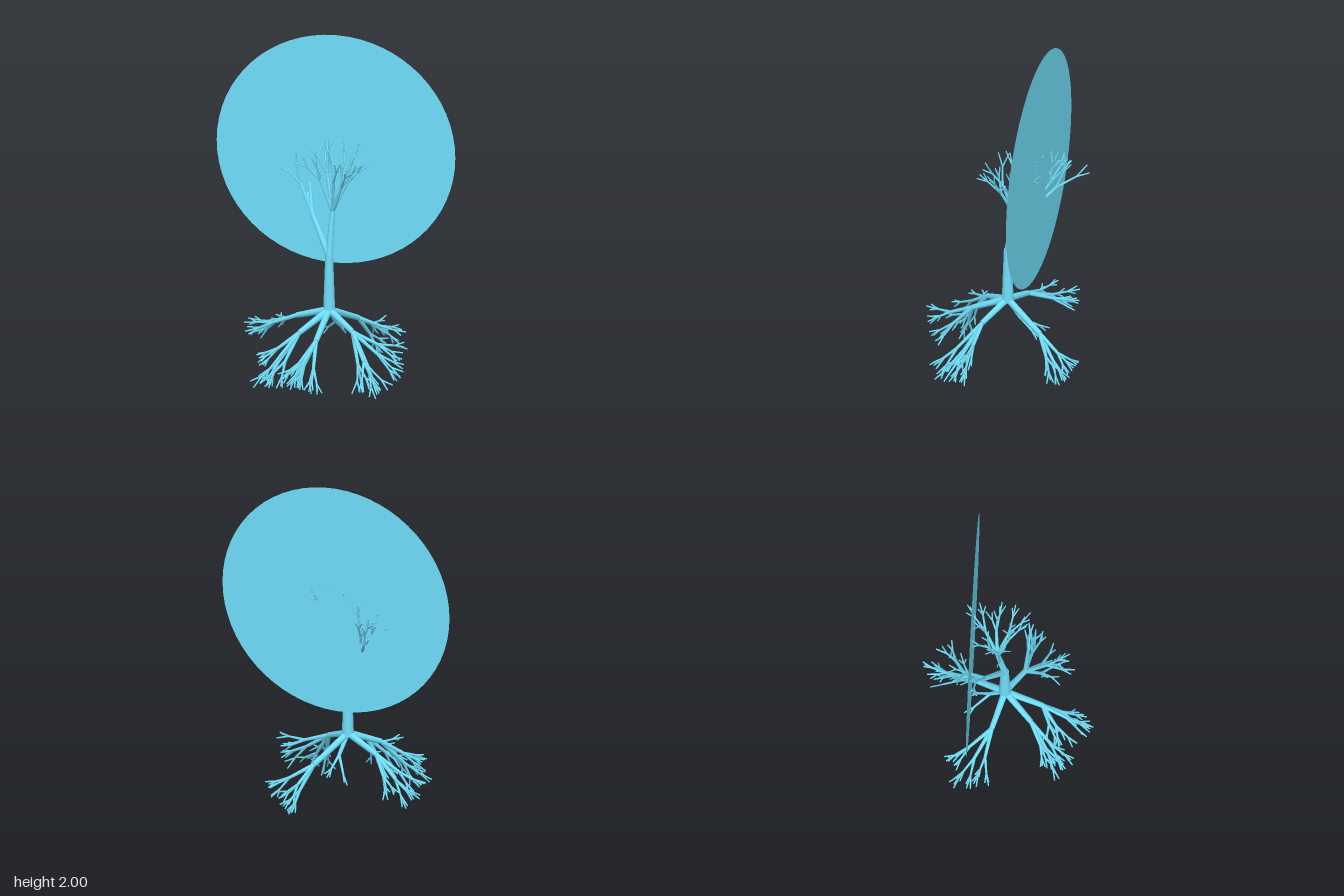
import * as THREE from 'three';
import { mergeGeometries } from 'three/addons/utils/BufferGeometryUtils.js';

const material = new THREE.MeshStandardMaterial({ color: 0x70e0fc });
const discMaterial = new THREE.MeshStandardMaterial({ color: 0x70e0fc, side: THREE.DoubleSide });
const UP = new THREE.Vector3(0, 1, 0);
const V = (a) => new THREE.Vector3(a[0], a[1], a[2]);

// Small seeded generator for the twigs
let seed = 11;
function rand() {
  seed = (seed * 16807) % 2147483647;
  return seed / 2147483647;
}

// Tapered round stick from p to q
function stick(list, p, q, r0, r1, sides = 8) {
  const d = q.clone().sub(p);
  const g = new THREE.CylinderGeometry(r1, r0, d.length(), sides);
  g.applyQuaternion(new THREE.Quaternion().setFromUnitVectors(UP, d.clone().normalize()));
  g.translate((p.x + q.x) / 2, (p.y + q.y) / 2, (p.z + q.z) / 2);
  list.push(g);
}

// Split the end of a stick into ever thinner twigs fanned round its direction
function fork(list, p, dir, length, r, depth) {
  if (depth === 0) return;
  const side = new THREE.Vector3().crossVectors(dir, new THREE.Vector3(0.31, 0.2, 0.93)).normalize();
  const count = rand() < 0.75 ? 3 : 2;
  const turn = rand() * Math.PI * 2;
  for (let i = 0; i < count; i++) {
    const axis = side.clone().applyAxisAngle(dir, turn + (i / count) * Math.PI * 2);
    const d = dir.clone().applyAxisAngle(axis, 0.18 + rand() * 0.25);
    const l = length * (0.8 + rand() * 0.4);
    // Shorten twigs that would reach below the ground
    const reach = d.y < 0 ? Math.min(l, (p.y - 0.004) / -d.y) : l;
    const q = p.clone().addScaledVector(d, reach);
    stick(list, p, q, r, r * 0.7, 6);
    if (q.y > 0.02) fork(list, q, d, length * 0.7, r * 0.7, depth - 1);
  }
}

// A limb: thick part from start to joint, then arms that end in twigs
function limb(name, start, joint, arms, r0, r1, depth = 2) {
  const list = [];
  const s = V(start), j = V(joint);
  stick(list, s, j, r0, r1);
  for (const a of arms) {
    const q = V(a);
    const d = q.clone().sub(j);
    const length = d.length();
    stick(list, j, q, r1 * 0.8, r1 * 0.58);
    fork(list, q, d.normalize(), length * 0.54, r1 * 0.54, depth);
  }
  const mesh = new THREE.Mesh(mergeGeometries(list), material);
  mesh.name = name;
  return mesh;
}

export function createModel() {
  const group = new THREE.Group();
  group.name = 'tree';

  // Trunk
  const trunk = new THREE.Mesh(new THREE.CylinderGeometry(0.023, 0.035, 0.345, 12), material);
  trunk.name = 'trunk';
  trunk.position.set(0, 0.5575, -0.017);
  group.add(trunk);

  // Branches
  const top = [0, 0.72, -0.017];
  group.add(
    limb('mainBranch', top, [0.01, 0.98, -0.06], [
      [0.09, 1.15, -0.07], [-0.06, 1.17, -0.05], [0.03, 1.18, 0.005],
      [0.07, 1.18, -0.13], [-0.03, 1.19, -0.1], [0.075, 1.15, 0.0],
    ], 0.021, 0.014),
    limb('sideBranch', top, [-0.12, 0.93, -0.12], [
      [-0.19, 1.07, -0.25], [-0.2, 1.09, -0.17], [-0.16, 1.11, -0.22],
    ], 0.02, 0.014),
  );

  // Roots
  const base = [0, 0.395, -0.015];
  const roots = [
    ['leftBackRoot', [-0.2, 0.32, -0.08],
      [[-0.35, 0.25, -0.11], [-0.35, 0.23, -0.17], [-0.29, 0.25, -0.2]]],
    ['rightBackRoot', [0.12, 0.27, -0.24],
      [[0.17, 0.19, -0.36], [0.24, 0.2, -0.31], [0.17, 0.14, -0.33]]],
    ['rightFrontRoot', [0.16, 0.31, 0.09],
      [[0.31, 0.25, 0.1], [0.31, 0.2, 0.12], [0.25, 0.18, 0.21], [0.27, 0.14, 0.18], [0.21, 0.15, 0.18]]],
    ['frontRoot', [-0.03, 0.28, 0.2],
      [[-0.07, 0.2, 0.34], [-0.11, 0.17, 0.28], [-0.02, 0.16, 0.31], [-0.09, 0.14, 0.24]]],
    ['leftFrontRoot', [-0.14, 0.3, 0.14],
      [[-0.25, 0.22, 0.2], [-0.23, 0.19, 0.26], [-0.2, 0.16, 0.24], [-0.24, 0.15, 0.23]]],
  ];
  for (const [name, joint, arms] of roots) group.add(limb(name, base, joint, arms, 0.021, 0.016));
  group.add(limb('smallBackRoot', base, [0.02, 0.29, -0.1],
    [[0.04, 0.23, -0.17], [-0.04, 0.22, -0.19]], 0.014, 0.011, 1));

  // Flat round disc standing behind the trunk
  const disc = new THREE.Mesh(new THREE.CircleGeometry(0.695, 64), discMaterial);
  disc.name = 'canopyDisc';
  disc.position.set(0, 1.305, -0.2);
  group.add(disc);

  return group;
}
